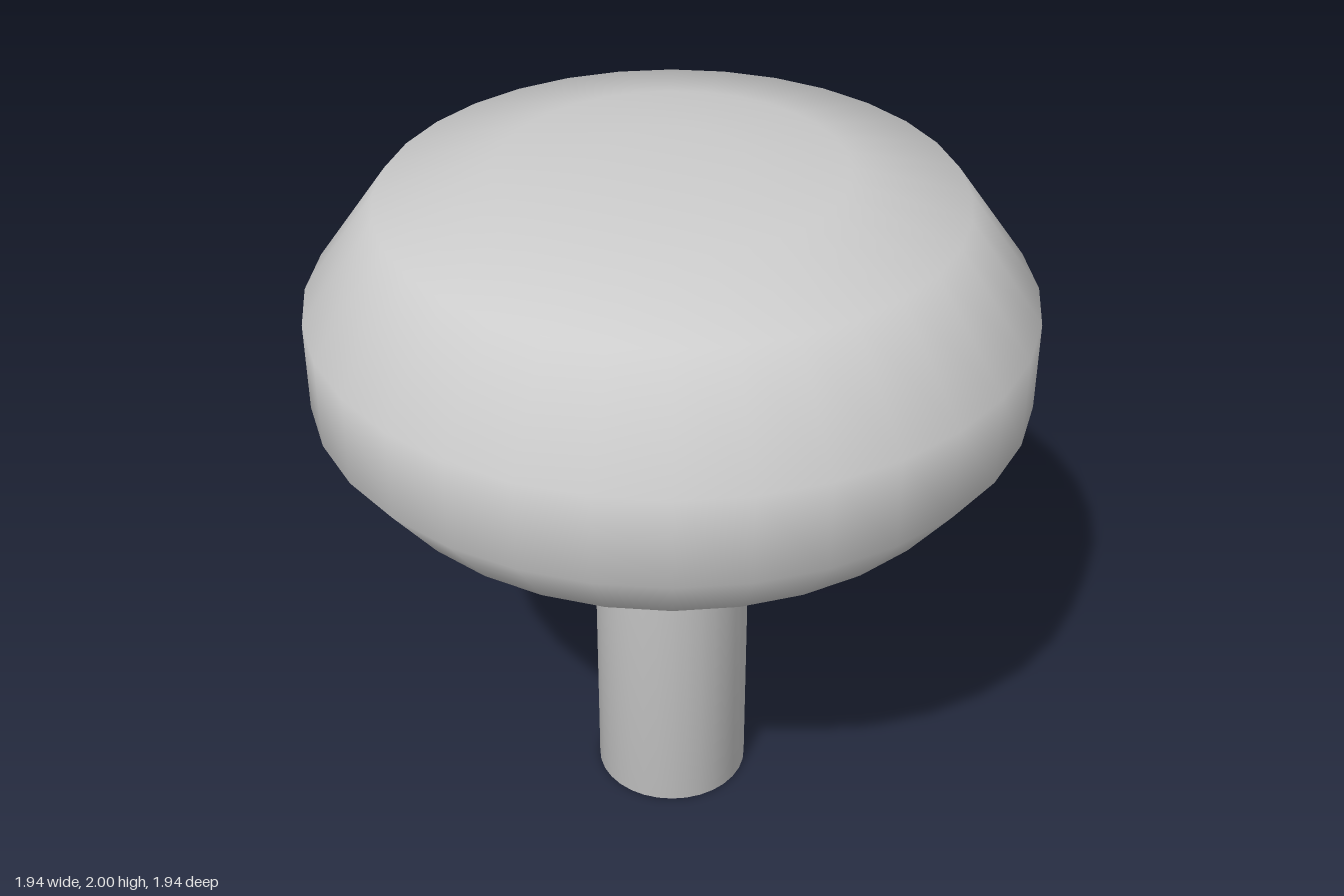
import * as THREE from 'three';

const SEGMENTS = 32;

// Smooth solid of revolution, profile listed from bottom to top
function turned(name, profile, material) {
  const points = profile.map(([r, y]) => new THREE.Vector2(r, y));
  const mesh = new THREE.Mesh(new THREE.LatheGeometry(points, SEGMENTS), material);
  mesh.name = name;
  return mesh;
}

export function createModel() {
  const grey = new THREE.MeshStandardMaterial({ color: 0xcccccc });
  grey.name = 'plain grey';

  const group = new THREE.Group();
  group.name = 'mushroom';

  // Straight stem with a closed foot, flaring out into the cap
  group.add(turned('stem', [
    [0, 0], [0.22, 0], [0.22, 1.06], [0.31, 1.13], [0.42, 1.2],
  ], grey));

  // Cap: hollowed underside, rounded rim and shallow dome
  group.add(turned('cap', [
    [0.42, 1.2], [0.59, 1.2], [0.69, 1.13], [0.84, 1.2], [0.97, 1.37],
    [0.97, 1.62], [0.77, 1.9], [0.46, 1.975], [0.19, 2], [0, 2],
  ], grey));

  return group;
}
